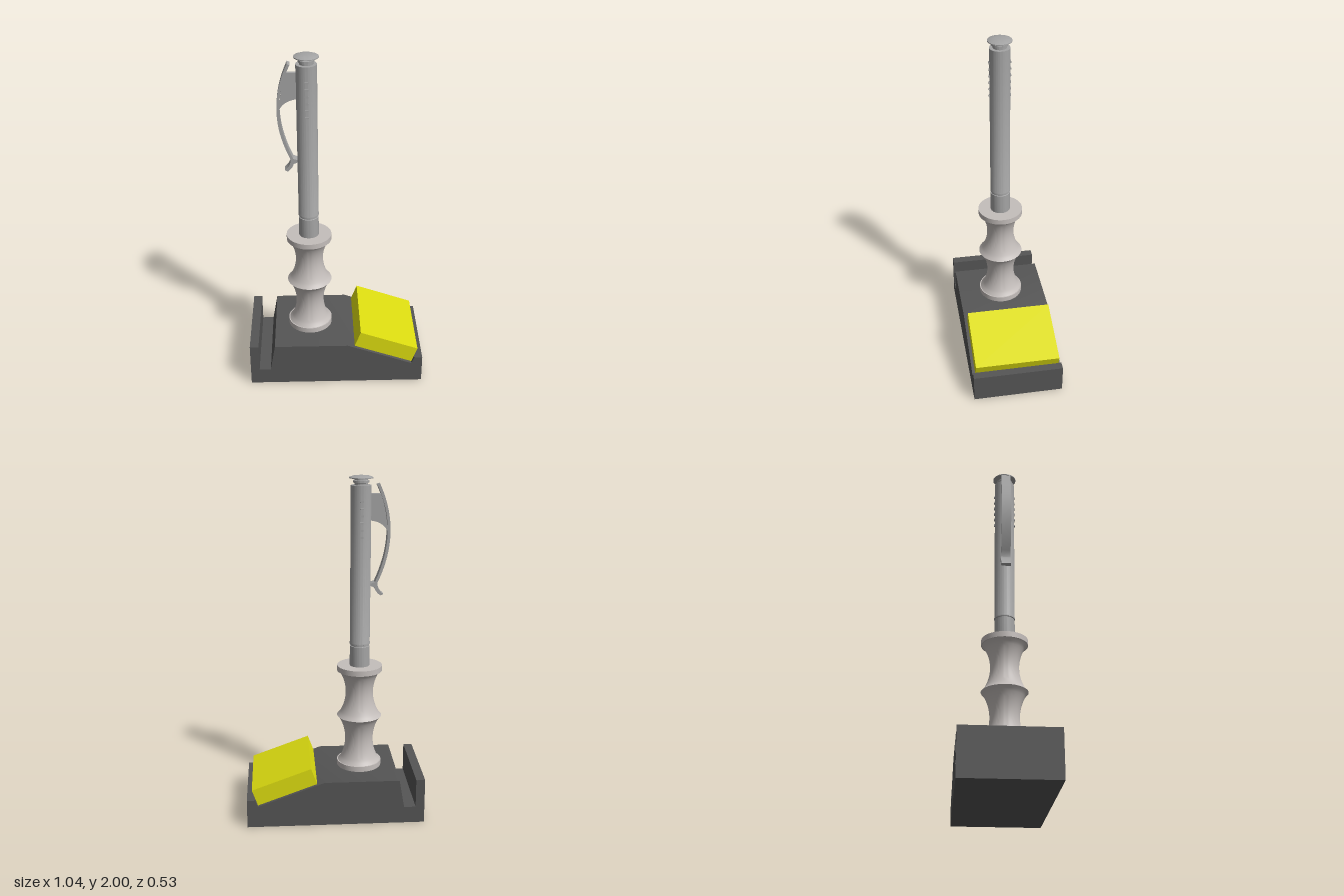
import * as THREE from 'three';
import { toCreasedNormals } from 'three/addons/utils/BufferGeometryUtils.js';

const AXIS_X = -0.155; // centre line of the holder and pen

const material = (color) => new THREE.MeshStandardMaterial({ color, side: THREE.DoubleSide });

// Extrude an x-y outline symmetrically about z = 0
function slab(shape, depth) {
  const geo = new THREE.ExtrudeGeometry(shape, { depth, bevelEnabled: false, curveSegments: 20 });
  geo.translate(0, 0, -depth / 2);
  return toCreasedNormals(geo, 0.5);
}

function outline(points) {
  return new THREE.Shape(points.map(([x, y]) => new THREE.Vector2(x, y)));
}

function turned(points) {
  const geo = new THREE.LatheGeometry(points.map(([r, y]) => new THREE.Vector2(r, y)), 64);
  return toCreasedNormals(geo, 0.5);
}

export function createModel() {
  const model = new THREE.Group();
  const dark = material(0x555555);
  const yellow = material(0xdddd10);
  const stone = material(0xc4bebb);
  const grey = material(0xa4a4a4);

  function add(name, geo, mat, parent = model) {
    const mesh = new THREE.Mesh(geo, mat);
    mesh.name = name;
    parent.add(mesh);
    return mesh;
  }

  // Base with a card slot on one end and a sloping note rest on the other
  add('base', slab(outline([
    [-0.52, 0], [0.52, 0], [0.52, 0.17], [0.472, 0.17], [0.456, 0.128], [0.068, 0.27],
    [-0.37, 0.27], [-0.4, 0.1], [-0.468, 0.1], [-0.468, 0.27], [-0.52, 0.27],
  ]), 0.534), dark);

  // Note pad lying on the slope
  add('notePad', slab(outline([
    [0.456, 0.13], [0.49, 0.226], [0.145, 0.352], [0.11, 0.256],
  ]), 0.5), yellow);

  // Pen holder: two waisted sections between flat flanges
  const profile = [[0, 0.268], [0.132, 0.268], [0.132, 0.302]];
  const waist = (y0, y1, r0, r1, rMid) => {
    for (let i = 0; i <= 20; i++) {
      const t = i / 20;
      const edge = r0 + (r1 - r0) * t;
      const depth = Math.sqrt(Math.max(0, 1 - (2 * t - 1) ** 2)) * 0.35 + 0.65 * (1 - (2 * t - 1) ** 2);
      profile.push([edge - ((r0 + r1) / 2 - rMid) * depth, y0 + (y1 - y0) * t]);
    }
  };
  waist(0.302, 0.587, 0.126, 0.132, 0.083);
  waist(0.587, 0.868, 0.132, 0.126, 0.081);
  profile.push([0.132, 0.868], [0.132, 0.9], [0, 0.9]);
  add('penHolder', turned(profile), stone).position.x = AXIS_X;

  const pen = new THREE.Group();
  pen.name = 'pen';
  model.add(pen);

  // Barrel with a shallow joint groove
  add('penBarrel', turned([
    [0, 0.895], [0.058, 0.895], [0.058, 1.02], [0.054, 1.022], [0.054, 1.03], [0.059, 1.032],
    [0.059, 1.042], [0.058, 1.044], [0.058, 1.946], [0, 1.946],
  ]), grey, pen).position.x = AXIS_X;

  // Push button: stepped neck and domed cap
  add('pushButton', turned([
    [0, 1.945], [0.038, 1.945], [0.038, 1.958], [0.046, 1.96], [0.046, 1.972], [0.036, 1.974],
    [0.036, 1.982], [0.068, 1.984], [0.068, 1.989], [0.05, 1.996], [0.025, 1.999], [0, 2],
  ]), grey, pen).position.x = AXIS_X;

  // Small grip ridges on the front and back of the barrel
  for (const side of [-1, 1]) {
    for (let i = 0; i < 6; i++) {
      const ridge = add('gripRidge', new THREE.BoxGeometry(0.02, 0.01, 0.012), grey, pen);
      ridge.position.set(AXIS_X, 1.66 + i * 0.04, side * 0.056);
    }
  }

  // Bowed clip arm with a flared tip
  const arm = new THREE.Shape();
  arm.moveTo(-0.258, 1.955);
  arm.bezierCurveTo(-0.33, 1.8, -0.355, 1.62, -0.25, 1.395);
  arm.quadraticCurveTo(-0.252, 1.355, -0.285, 1.33);
  arm.lineTo(-0.268, 1.322);
  arm.quadraticCurveTo(-0.238, 1.345, -0.234, 1.368);
  arm.lineTo(-0.212, 1.378);
  arm.lineTo(-0.212, 1.392);
  arm.lineTo(-0.236, 1.4);
  arm.bezierCurveTo(-0.335, 1.62, -0.316, 1.8, -0.243, 1.948);
  arm.closePath();
  add('clipArm', slab(arm, 0.054), grey, pen);

  // Web joining the clip to the barrel
  const web = new THREE.Shape();
  web.moveTo(-0.2, 1.9);
  web.lineTo(-0.266, 1.9);
  web.quadraticCurveTo(-0.3, 1.8, -0.305, 1.69);
  web.quadraticCurveTo(-0.275, 1.745, -0.2, 1.75);
  web.closePath();
  add('clipWeb', slab(web, 0.022), grey, pen);

  return model;
}
